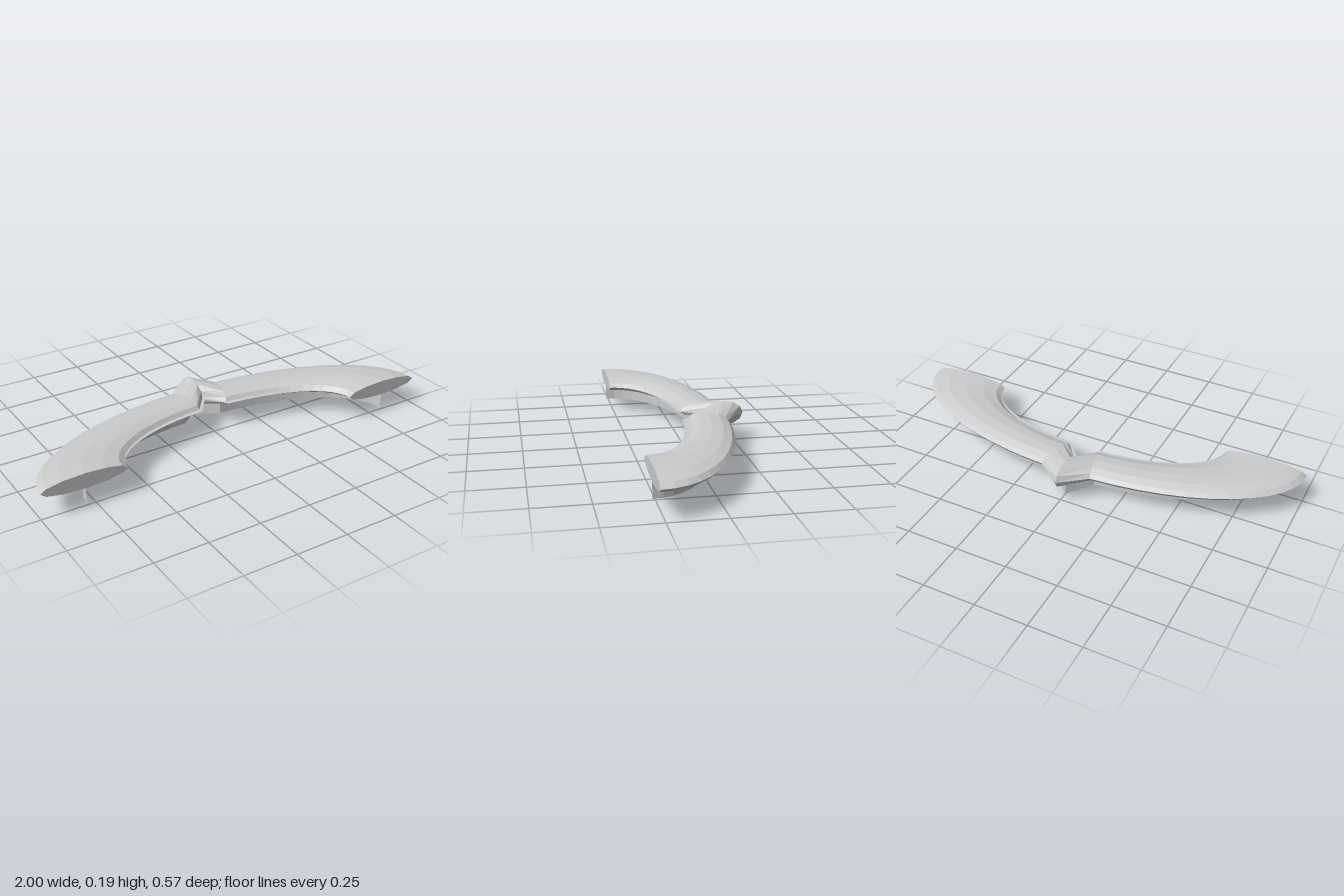
import * as THREE from 'three';

const MID_Y = 0.133, FRONT_Z = 0.27, SQUASH = 0.4725, SIDES = 12, STEPS = 12;
const GAP = Math.asin(0.125);

// Stations along the arch: two even arms meeting at a raised central peak
function stations() {
  const list = [];
  const end = Math.PI / 2 - GAP;
  for (let i = 0; i <= STEPS; i++) list.push({ angle: end * i / STEPS, radius: 0.8, half: 0.0365, bottom: 0.023 });
  const mirrored = list.map(s => ({ ...s, angle: Math.PI - s.angle })).reverse();
  return [...list, { angle: Math.PI / 2, radius: 1.0, half: 0.06, bottom: 0 }, ...mirrored];
}

// Point on the flattened arch at a given angle, radius and height
function archPoint(angle, radius, y, shift = 0) {
  return [radius * Math.cos(angle), y, FRONT_Z - SQUASH * radius * Math.sin(angle) + shift];
}

// Joins equal-length rows of points into a surface
function loft(rows, closed) {
  const n = rows[0].length, index = [];
  for (let i = 0; i < rows.length - 1; i++) {
    for (let j = 0; j < (closed ? n : n - 1); j++) {
      const k = (j + 1) % n;
      const a = i * n + j, b = (i + 1) * n + j, c = (i + 1) * n + k, d = i * n + k;
      index.push(a, b, c, a, c, d);
    }
  }
  if (closed) {
    const last = (rows.length - 1) * n;
    for (let j = 1; j < n - 1; j++) index.push(0, j, j + 1, last, last + j + 1, last + j);
  }
  const geometry = new THREE.BufferGeometry();
  geometry.setAttribute('position', new THREE.Float32BufferAttribute(rows.flat(2), 3));
  geometry.setIndex(index);
  geometry.computeVertexNormals();
  return geometry;
}

export function createModel() {
  const group = new THREE.Group();
  group.name = 'archedBand';
  const path = stations();
  const solid = new THREE.MeshStandardMaterial({ color: 0xcccccc, flatShading: true });
  const thin = new THREE.MeshStandardMaterial({ color: 0xcccccc, flatShading: true, side: THREE.DoubleSide });

  const add = (name, geometry, material) => {
    const mesh = new THREE.Mesh(geometry, material);
    mesh.name = name;
    group.add(mesh);
  };

  // Lens-shaped bar with closed ends
  const barRows = path.map(s => Array.from({ length: SIDES }, (_, j) => {
    const a = j / SIDES * Math.PI * 2;
    return archPoint(s.angle, s.radius + 0.2 * Math.cos(a), MID_Y + s.half * Math.sin(a));
  }));
  add('bar', loft(barRows, true), solid);

  // Upright skirt hanging below the centre line
  add('skirt', loft(path.map(s => [
    archPoint(s.angle, s.radius, MID_Y - s.half),
    archPoint(s.angle, s.radius, s.bottom),
  ]), false), thin);

  // Narrow ledge along the inner edge, fading out towards the ends
  add('innerLedge', loft(path.map(s => [
    archPoint(s.angle, s.radius - 0.19, MID_Y),
    archPoint(s.angle, s.radius - 0.2, MID_Y, 0.023 * Math.sin(s.angle)),
  ]), false), thin);

  return group;
}
